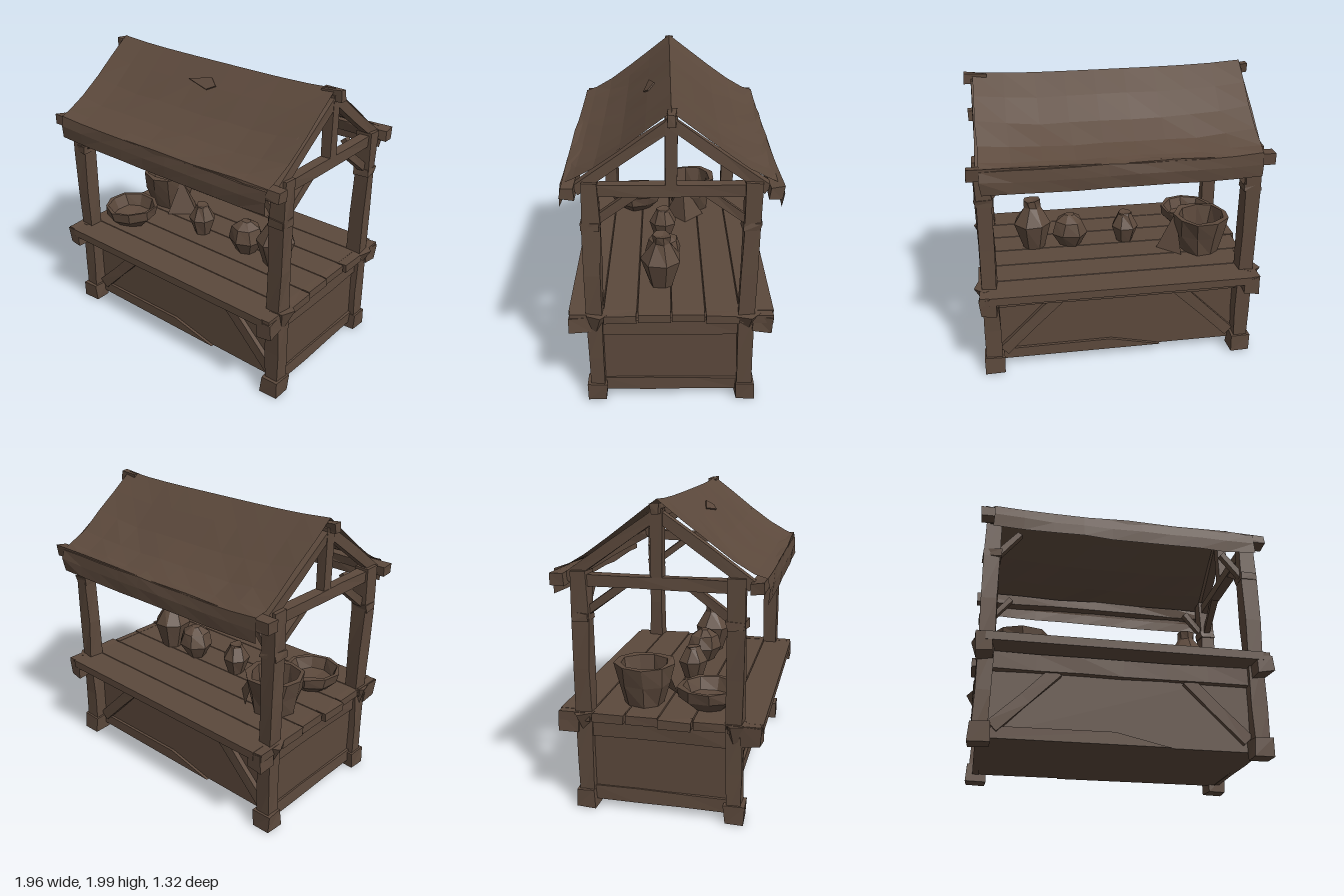
import * as THREE from 'three';

export function createModel() {
  const stall = new THREE.Group();
  stall.name = 'marketStall';
  const wood = new THREE.MeshStandardMaterial({ color: 0x5c493c, flatShading: true, side: THREE.DoubleSide });
  wood.name = 'weatheredBrown';

  // repeatable noise from -1 to 1, equal for corners at the same spot
  const noise = (x, y, z, s) => {
    const n = Math.sin(x * 127.1 + y * 311.7 + z * 74.7 + s * 19.3) * 43758.5453;
    return (n - Math.floor(n)) * 2 - 1;
  };
  const roughen = (geo, amount, seed) => {
    const p = geo.attributes.position;
    for (let i = 0; i < p.count; i++) {
      const c = [p.getX(i), p.getY(i), p.getZ(i)].map(v => Math.round(v * 1000) / 1000 + 0);
      p.setXYZ(i, c[0] + amount * noise(...c, seed), c[1] + amount * 0.5 * noise(...c, seed + 1),
        c[2] + amount * noise(...c, seed + 2));
    }
    geo.computeVertexNormals();
    return geo;
  };
  const add = (name, geo, x = 0, y = 0, z = 0) => {
    const m = new THREE.Mesh(geo, wood);
    m.name = name;
    m.position.set(x, y, z);
    stall.add(m);
    return m;
  };
  const shapeOf = pts => new THREE.Shape(pts.map(q => new THREE.Vector2(...q)));
  let seed = 1;
  const UP = new THREE.Vector3(0, 1, 0);
  // hewn timber from a to b
  const beam = (name, a, b, w, d, rough = 0.006) => {
    const A = new THREE.Vector3(...a), B = new THREE.Vector3(...b);
    const len = A.distanceTo(B);
    const geo = new THREE.BoxGeometry(w, len, d, 1, Math.max(1, Math.round(len / 0.3)), 1);
    const m = add(name, roughen(geo, rough, seed++));
    m.position.copy(A).add(B).multiplyScalar(0.5);
    m.quaternion.setFromUnitVectors(UP, B.sub(A).normalize());
    return m;
  };

  // corner posts with feet, brackets and knots
  for (const sx of [-1, 1]) for (const sz of [-1, 1]) {
    const x = sx * 0.87, z = sz * 0.475;
    beam('post', [x, 0.02, z], [x, 1.55, z], 0.1, 0.1, 0.008);
    beam('postFoot', [x, 0, z + sz * 0.005], [x, 0.12, z + sz * 0.005], 0.13, 0.125, 0.008);
    beam('counterBracket', [x + sx * 0.01, 0.585, sz * 0.51], [x + sx * 0.01, 0.58, sz * 0.64], 0.1, 0.12, 0.015);
    const knot = add('postKnot', roughen(new THREE.ConeGeometry(0.08, 0.17, 5), 0.012, seed++), x + sx * 0.025, 0.57, z);
    knot.rotation.x = Math.PI;
    add('postCollar', roughen(new THREE.BoxGeometry(0.115, 0.05, 0.11), 0.01, seed++), x, 1.27, z);
    // knee braces under the roof
    beam('longBrace', [sx * 0.84, 1.28, z], [sx * 0.7, 1.45, z], 0.04, 0.05, 0.004);
    beam('sideBrace', [x, 1.3, sz * 0.44], [x, 1.48, sz * 0.2], 0.05, 0.05, 0.004);
    // diagonal braces on the long panels
    beam('panelBrace', [sx * 0.8, 0.12, sz * 0.445], [sx * 0.42, 0.5, sz * 0.445], 0.08, 0.035, 0.004);
    beam('rafter', [sx * 0.87, 1.5, sz * 0.56], [sx * 0.87, 1.9, 0], 0.06, 0.065, 0.005);
  }

  // base and counter as one cross-section, with grooves between the planks
  const top = [];
  for (let i = 0; i < 5; i++) {
    const z = -0.428 + i * 0.214;
    top.push([z - 0.004, 0.655], [z, 0.645], [z + 0.004, 0.655]);
  }
  const section = shapeOf([[-0.645, 0.655], ...top, [0.645, 0.655], [0.645, 0.6],
    [0.43, 0.6], [0.43, 0.05], [-0.43, 0.05], [-0.43, 0.6], [-0.645, 0.6]]);
  const base = add('baseAndCounter', new THREE.ExtrudeGeometry(section, { depth: 1.75, bevelEnabled: false }), -0.875);
  base.rotation.y = Math.PI / 2;

  for (const s of [-1, 1]) {
    // uneven plank ends
    for (let i = 0; i < 6; i++) {
      const z = -0.535 + i * 0.214;
      beam('plankEnd', [s * 0.87, 0.627, z], [s * (0.935 + 0.015 * noise(i, s, 3, 4)), 0.627, z], 0.056, 0.205, 0.003);
    }
    beam('longTopRail', [-0.83, 0.54, s * 0.455], [0.83, 0.54, s * 0.455], 0.11, 0.055, 0.005);
    beam('sideBottomRail', [s * 0.87, 0.095, -0.44], [s * 0.87, 0.095, 0.44], 0.04, 0.09, 0.004);
    beam('sideTopRail', [s * 0.875, 0.545, -0.44], [s * 0.875, 0.545, 0.44], 0.045, 0.11, 0.004);
    // tapering splinter board along the foot of the long panel
    const board = shapeOf([[-0.82, 0.05], [0.3, 0.05], [-0.05, 0.13], [-0.82, 0.125]]);
    const splinter = add('footBoard', new THREE.ExtrudeGeometry(board, { depth: 0.02, bevelEnabled: false }), 0, 0, s * 0.43);
    if (s < 0) splinter.rotation.y = Math.PI;
    // gable frame
    beam('tieBeam', [s * 0.87, 1.495, -0.44], [s * 0.87, 1.495, 0.44], 0.07, 0.075, 0.004);
    beam('kingPost', [s * 0.87, 1.5, 0], [s * 0.87, 1.93, 0], 0.065, 0.07, 0.004);
    beam('eaveBeam', [-0.96, 1.505, s * 0.6], [0.96, 1.505, s * 0.6], 0.07, 0.08, 0.009);
    beam('ridgeBeamEnd', [s * 0.8, 1.925, 0], [s * 0.945, 1.93, 0], 0.06, 0.05, 0.009);
  }
  beam('ridgeBeam', [-0.82, 1.9, 0], [0.82, 1.9, 0], 0.05, 0.045, 0.005);

  // sagging cloth roof: each row is z, height and how far the middle hangs
  const profile = [[0, 1.975, 0.02], [0.15, 1.86, 0.032], [0.3, 1.74, 0.042], [0.45, 1.635, 0.035],
    [0.57, 1.57, 0.02], [0.645, 1.54, 0.01], [0.655, 1.47, 0.01], [0.652, 1.39, 0.01]];
  const rows = profile.length - 1, cols = 9;
  for (const s of [-1, 1]) {
    const geo = new THREE.PlaneGeometry(1, 1, cols, rows);
    const p = geo.attributes.position;
    for (let i = 0; i < p.count; i++) {
      const c = i % (cols + 1), r = Math.floor(i / (cols + 1));
      const u = c / cols * 2 - 1;
      const [z, y, hang] = profile[r];
      const wob = r === 0 ? 0 : noise(c, r, s, 7);
      const sag = hang * (1 - u ** 4) + 0.008 * u;
      p.setXYZ(i, u * (0.89 - 0.012 * r / rows) + 0.006 * wob, y - sag + 0.006 * wob, s * (z + (r > 5 ? 0.006 * wob : 0)));
    }
    if (s < 0) geo.index.array.reverse();
    geo.computeVertexNormals();
    add('roofCloth', geo);
  }

  // raised diamond patch on the front slope
  const diamond = shapeOf([[-0.15, 0], [0.02, 0.048], [0.085, -0.005], [0.03, -0.045]]);
  const patch = add('roofPatch', new THREE.ExtrudeGeometry(diamond, { depth: 0.009, bevelEnabled: false }), 0, 1.842, 0.138);
  patch.rotation.x = -0.88;

  // goods turned from low-sided profiles
  const turned = (name, pts, sides, x, z, rough = 0.008) =>
    add(name, roughen(new THREE.LatheGeometry(pts.map(q => new THREE.Vector2(...q)), sides), rough, seed++), x, 0.655, z);
  turned('tallJar', [[0.08, 0], [0.135, 0.19], [0.055, 0.31], [0.06, 0.365], [0, 0.35]], 7, 0.545, 0.06);
  turned('roundPot', [[0.07, 0], [0.125, 0.1], [0.095, 0.19], [0.03, 0.235], [0, 0.235]], 7, 0.28, 0.05);
  turned('smallPot', [[0.06, 0], [0.1, 0.12], [0.05, 0.21], [0.045, 0.225], [0, 0.22]], 7, -0.125, 0.05);
  turned('bowl', [[0.11, 0], [0.185, 0.07], [0.2, 0.14], [0.17, 0.14], [0.14, 0.06], [0, 0.035]], 9, -0.645, 0.265);
  turned('bucket', [[0.135, 0], [0.175, 0.14], [0.195, 0.265], [0.16, 0.265], [0.13, 0.08], [0, 0.06]], 9, -0.64, -0.155, 0.012);

  // cloth draped from the bucket to the counter
  const drape = new THREE.BufferGeometry();
  drape.setAttribute('position', new THREE.Float32BufferAttribute([
    -0.47, 0.92, -0.1, -0.5, 0.66, 0.03, -0.33, 0.66, -0.12,
    -0.47, 0.92, -0.1, -0.33, 0.66, -0.12, -0.48, 0.66, -0.26], 3));
  drape.computeVertexNormals();
  add('drapedCloth', drape);

  return stall;
}
